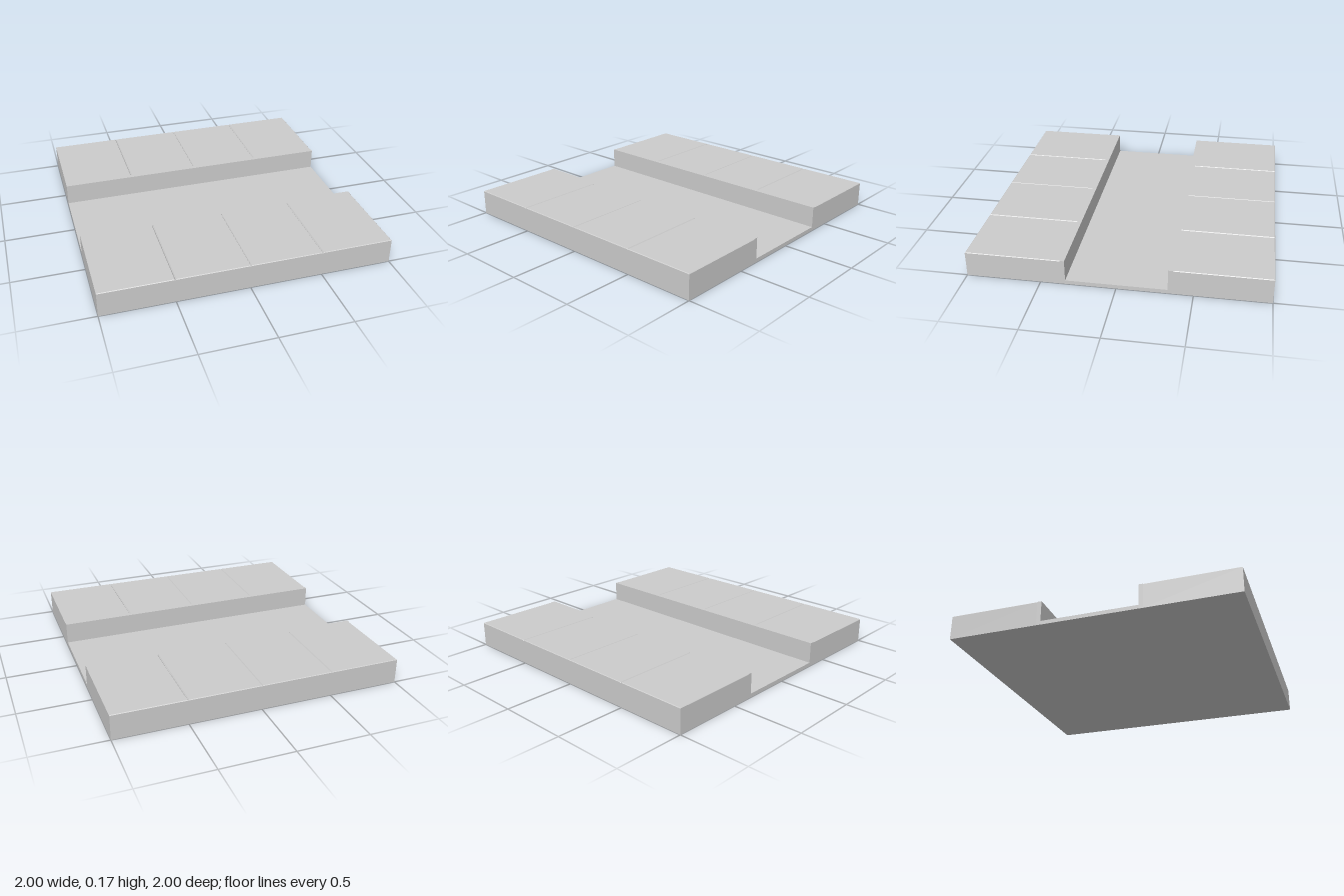
import * as THREE from 'three';

const TOP = 0.175, ROAD = 0.027, KERB = 0.335, SLAB = 0.365, BEVEL = 0.004;

// Cross-section of the paving: flat slabs parted by V-shaped joints
function pavingShape() {
  const s = new THREE.Shape();
  s.moveTo(-1, 0);
  s.lineTo(1, 0);
  s.lineTo(1, TOP - BEVEL);
  s.lineTo(1 - BEVEL, TOP);
  for (const [x, half, depth] of [[0.5, 0.006, 0.008], [0, 0.004, 0.006], [-0.5, 0.006, 0.008]]) {
    s.lineTo(x + half, TOP);
    s.lineTo(x, TOP - depth);
    s.lineTo(x - half, TOP);
  }
  s.lineTo(-1 + BEVEL, TOP);
  s.lineTo(-1, TOP - BEVEL);
  s.closePath();
  return s;
}

// Extruded towards +z, with the outer top edge chamfered
function pavingGeometry() {
  const depth = 1 - SLAB;
  const g = new THREE.ExtrudeGeometry(pavingShape(), { depth, steps: 2, bevelEnabled: false });
  const p = g.attributes.position;
  for (let i = 0; i < p.count; i++) {
    const t = p.getZ(i) / depth;
    if (t > 0.9) p.setY(i, Math.min(p.getY(i), TOP - BEVEL));
    else if (t > 0.1) p.setZ(i, depth - BEVEL);
  }
  g.translate(0, 0, SLAB);
  g.computeVertexNormals();
  return g;
}

export function createModel() {
  const model = new THREE.Group();
  model.name = 'roadTile';
  const concrete = new THREE.MeshStandardMaterial({ color: 0xcccccc });
  concrete.name = 'concrete';

  const add = (parent, name, geometry) => {
    const mesh = new THREE.Mesh(geometry, concrete);
    mesh.name = name;
    parent.add(mesh);
    return mesh;
  };

  // Sunken roadway
  add(model, 'road', new THREE.BoxGeometry(2, ROAD, 2 * KERB).translate(0, ROAD / 2, 0));

  // Matching pavements on both sides
  const paving = pavingGeometry();
  const kerb = new THREE.BoxGeometry(2, TOP, SLAB - KERB).translate(0, TOP / 2, (KERB + SLAB) / 2);
  for (const [name, turn] of [['frontPavement', 0], ['backPavement', Math.PI]]) {
    const side = new THREE.Group();
    side.name = name;
    side.rotation.y = turn;
    add(side, 'pavingSlabs', paving);
    add(side, 'kerb', kerb);
    model.add(side);
  }
  return model;
}
